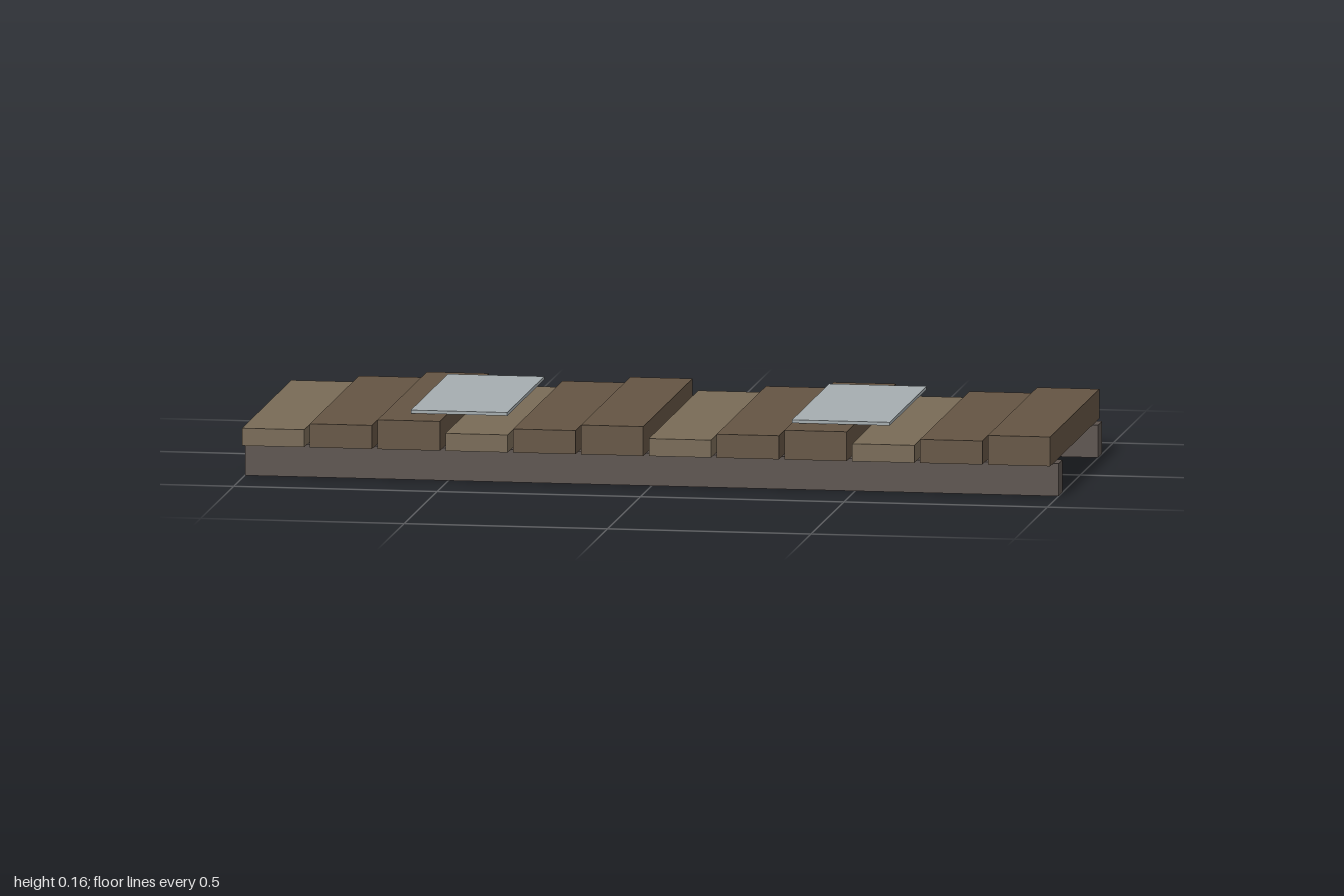
import * as THREE from 'three';

export function createModel() {
  const group = new THREE.Group();
  const material = (color) => new THREE.MeshStandardMaterial({ color });
  const railWood = material(0x5c534e);
  const darkWood = material(0x645443);
  const lightWood = material(0x786a56);
  const metal = material(0xa5adb0);

  // Box given by its x, y and z ranges
  function addBox(name, mat, [x0, x1], [y0, y1], [z0, z1]) {
    const mesh = new THREE.Mesh(new THREE.BoxGeometry(x1 - x0, y1 - y0, z1 - z0), mat);
    mesh.position.set((x0 + x1) / 2, (y0 + y1) / 2, (z0 + z1) / 2);
    mesh.name = name;
    group.add(mesh);
  }

  // Two long support rails
  addBox('frontRail', railWood, [-1, 1], [0, 0.08], [0.27, 0.33]);
  addBox('backRail', railWood, [-1, 1], [0, 0.08], [-0.33, -0.27]);

  // Twelve cross planks with three repeating thicknesses
  const tops = [0.123, 0.138, 0.152];
  for (let i = 0; i < 12; i++) {
    const x = -1 + i / 6;
    addBox(`plank${i + 1}`, i % 3 === 0 ? lightWood : darkWood,
      [x, x + 0.153], [0.08, tops[i % 3]], [-0.374, 0.374]);
  }

  // Thin metal plates lying on the tallest planks
  addBox('rightPlate', metal, [-0.6, -0.363], [0.155, 0.163], [-0.281, 0.281]);
  addBox('leftPlate', metal, [0.337, 0.577], [0.155, 0.163], [-0.281, 0.281]);

  return group;
}
